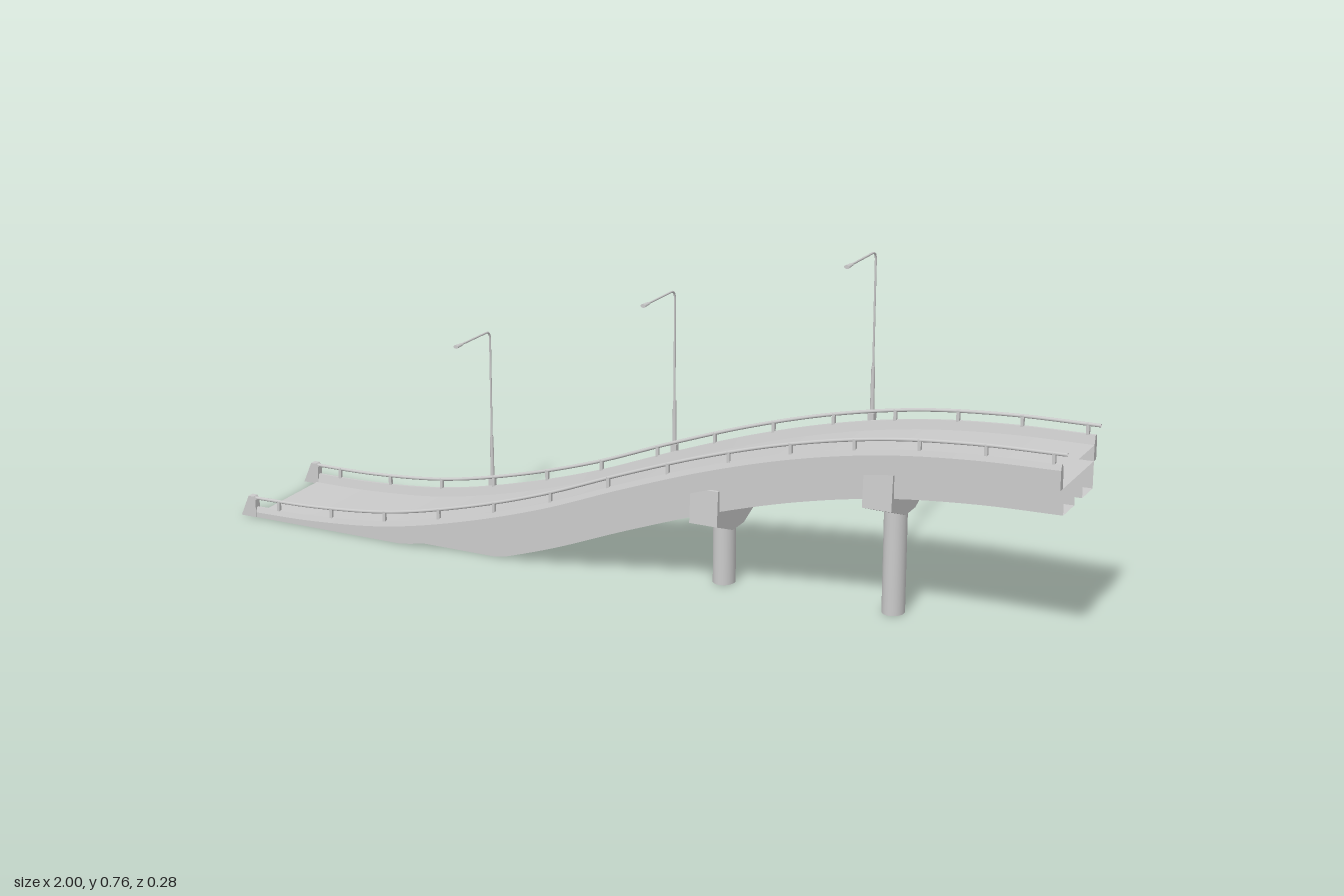
import * as THREE from 'three';

const mat = new THREE.MeshStandardMaterial({ color: 0xcccccc, side: THREE.DoubleSide });

// Road height along x, from the foot of the ramp to its crest
const heights = [0.003, 0.008, 0.028, 0.073, 0.135, 0.213, 0.285, 0.343, 0.383, 0.403, 0.41];
const roadCurve = new THREE.CatmullRomCurve3(
  heights.map((h, i) => new THREE.Vector3(-1 + i * 0.2, h, 0)), false, 'catmullrom', 0.5);
const road = x => roadCurve.getPoint((x + 1) / 2).y;

// The front edge is straight, the back edge tapers in
const FRONT = 0.139;
const back = x => -0.1125 + 0.0275 * x;
const START = -0.965, END = 0.99;

function mesh(name, geometry, parent) {
  const m = new THREE.Mesh(geometry, mat);
  m.name = name;
  parent.add(m);
  return m;
}

// Sweeps a closed section of [z, height above road] along the ramp, never below ground.
// Each side is its own strip, so it is smooth along its length and sharp at its edges.
function sweep(section, x0, x1, capped) {
  const pos = [], idx = [], N = 60;
  const point = (x, [z, h]) => [x, Math.max(0, road(x) + h), z];
  const n = section(x0).length;
  for (let k = 0; k < n; k++) {
    const base = pos.length / 3;
    for (let i = 0; i <= N; i++) {
      const x = x0 + (x1 - x0) * i / N, s = section(x);
      pos.push(...point(x, s[k]), ...point(x, s[(k + 1) % n]));
      if (i < N) {
        const a = base + i * 2;
        idx.push(a, a + 1, a + 2, a + 1, a + 3, a + 2);
      }
    }
  }
  if (capped) {
    for (const x of [x0, x1]) {
      const base = pos.length / 3;
      section(x).forEach(p => pos.push(...point(x, p)));
      for (let k = 1; k < n - 1; k++) {
        if (x === x0) idx.push(base, base + k + 1, base + k);
        else idx.push(base, base + k, base + k + 1);
      }
    }
  }
  const g = new THREE.BufferGeometry();
  g.setAttribute('position', new THREE.Float32BufferAttribute(pos, 3));
  g.setIndex(idx);
  g.computeVertexNormals();
  return g;
}

// Extrudes a [z, y] outline along x, centred on x
function slice(points, x, width) {
  const shape = new THREE.Shape(points.map(([z, y]) => new THREE.Vector2(-z, y)));
  const g = new THREE.ExtrudeGeometry(shape, { depth: width, bevelEnabled: false });
  return g.rotateY(Math.PI / 2).translate(x - width / 2, 0, 0);
}

function buildDeck(g) {
  // Road slab, open at its ends
  mesh('roadSlab', sweep(x => [
    [back(x) + 0.014, 0], [FRONT - 0.014, 0],
    [FRONT - 0.014, -0.035], [back(x) + 0.014, -0.035]], START, END, false), g);

  // Barriers, as distance in from the edge
  const barrier = [[0.015, 0], [0.010, 0.02], [0.004, 0.02], [0, 0.008], [0, -0.035], [0.015, -0.035]];
  mesh('frontBarrier', sweep(() => barrier.map(([d, h]) => [FRONT - d, h]), START, END, true), g);
  mesh('backBarrier', sweep(x => barrier.map(([d, h]) => [back(x) + d, h]).reverse(), START, END, true), g);

  // Two hollow girders under the slab
  const girder = (z0, z1) => [[z0, -0.035], [z1, -0.035], [z1, -0.095], [z0, -0.095]];
  mesh('frontGirder', sweep(() => girder(0.045, 0.114), -0.6, END, false), g);
  mesh('backGirder', sweep(x => girder(back(x) + 0.014, back(x) + 0.081), -0.6, END, false), g);
}

function buildRailing(name, zAt, g) {
  const rail = new THREE.Group();
  rail.name = name;
  g.add(rail);
  const pts = [];
  for (let i = 0; i <= 40; i++) {
    const x = -0.97 + 1.97 * i / 40;
    pts.push(new THREE.Vector3(x, road(x) + 0.041, zAt(x)));
  }
  mesh('handrail', new THREE.TubeGeometry(new THREE.CatmullRomCurve3(pts), 80, 0.004, 8), rail);
  for (let i = 0; i < 14; i++) {
    const x = -0.9 + i * 0.144;
    mesh('railPost', new THREE.BoxGeometry(0.007, 0.026, 0.007), rail)
      .position.set(x, road(x) + 0.03, zAt(x));
  }
}

// Tapered block closing each barrier at the foot of the ramp
function buildEndBlock(zMid, g) {
  const s = new THREE.Shape([[-1, 0], [-0.96, 0], [-0.96, 0.042], [-0.966, 0.05], [-0.979, 0.05]]
    .map(([x, y]) => new THREE.Vector2(x, y)));
  mesh('endBlock', new THREE.ExtrudeGeometry(s, { depth: 0.017, bevelEnabled: false }), g)
    .position.z = zMid - 0.0085;
}

function buildPier(x, g) {
  const pier = new THREE.Group();
  pier.name = 'pier';
  g.add(pier);
  const top = road(x) - 0.037, foot = road(x) - 0.148, zb = back(x);
  // Flared cap whose wings hold the girders
  mesh('pierCap', slice([
    [0.045, foot], [0.126, foot + 0.032], [0.121, top],
    [zb + 0.011, top], [zb + 0.016, foot + 0.032], [-0.011, foot]], x, 0.066), pier);
  const column = mesh('pierColumn', new THREE.CylinderGeometry(0.025, 0.025, foot + 0.01, 20), pier);
  column.scale.z = 1.1;
  column.position.set(x, (foot + 0.01) / 2, 0.017);
}

function buildLamp(x, g) {
  const lamp = new THREE.Group();
  lamp.name = 'streetLamp';
  lamp.position.set(x, road(x), back(x) - 0.0065);
  lamp.rotation.y = -0.03;
  g.add(lamp);
  mesh('lampBracket', new THREE.BoxGeometry(0.014, 0.035, 0.014), lamp).position.y = 0.0175;
  mesh('lampSleeve', new THREE.CylinderGeometry(0.004, 0.005, 0.105, 10), lamp).position.y = 0.0855;
  // Thin pole with a rounded bend into the arm
  const v = (y, z) => new THREE.Vector3(0, y, z);
  const path = new THREE.CurvePath();
  path.add(new THREE.LineCurve3(v(0.13, 0), v(0.374, 0)));
  path.add(new THREE.QuadraticBezierCurve3(v(0.374, 0), v(0.392, 0), v(0.392, 0.018)));
  path.add(new THREE.LineCurve3(v(0.392, 0.018), v(0.392, 0.128)));
  mesh('lampPole', new THREE.TubeGeometry(path, 70, 0.0024, 8), lamp);
  const head = mesh('lampHead', new THREE.CylinderGeometry(0.0065, 0.0045, 0.024, 10), lamp);
  head.rotation.x = Math.PI / 2;
  head.scale.z = 0.65;
  head.position.set(0, 0.392, 0.134);
}

export function createModel() {
  const g = new THREE.Group();
  g.name = 'bridgeRamp';
  buildDeck(g);
  buildRailing('frontRailing', () => FRONT - 0.007, g);
  buildRailing('backRailing', x => back(x) + 0.007, g);
  buildEndBlock(FRONT - 0.007, g);
  buildEndBlock(back(-0.98) + 0.007, g);
  for (const x of [0.19, 0.59]) buildPier(x, g);
  for (const x of [-0.48, 0, 0.48]) buildLamp(x, g);
  return g;
}
